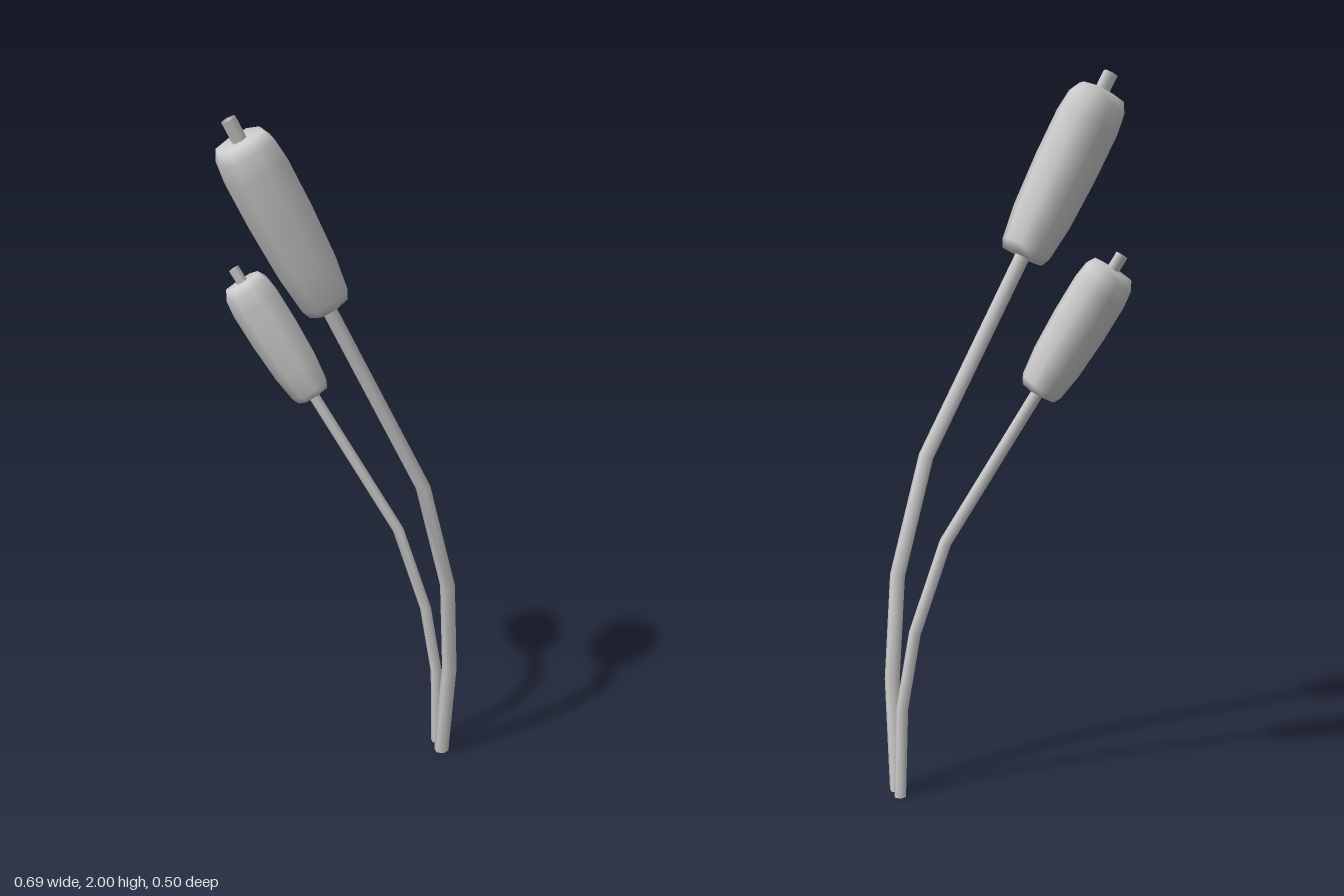
import * as THREE from 'three';

const material = new THREE.MeshStandardMaterial({ color: 0xcccccc });

// Smooth closed loft: rings of { center, axis, radius }; flat < 1 pulls in every second side
function loft(rings, sides, flat = 1, phase = 0) {
  const positions = [], index = [];
  for (const { center, axis, radius } of rings) {
    const u = new THREE.Vector3(1, 0, 0).addScaledVector(axis, -axis.x).normalize();
    const v = new THREE.Vector3().crossVectors(axis, u);
    for (let j = 0; j < sides; j++) {
      const a = phase + (j / sides) * Math.PI * 2;
      const r = radius * (j % 2 ? flat : 1);
      positions.push(...center.clone()
        .addScaledVector(u, Math.cos(a) * r)
        .addScaledVector(v, Math.sin(a) * r).toArray());
    }
  }
  const last = (rings.length - 1) * sides;
  const bottom = rings.length * sides, top = bottom + 1;
  positions.push(...rings[0].center.toArray(), ...rings[rings.length - 1].center.toArray());
  for (let j = 0; j < sides; j++) {
    const k = (j + 1) % sides;
    for (let i = 0; i < last; i += sides) {
      index.push(i + j, i + k, i + sides + j, i + k, i + sides + k, i + sides + j);
    }
    index.push(bottom, k, j, top, last + j, last + k);
  }
  const geometry = new THREE.BufferGeometry();
  geometry.setAttribute('position', new THREE.Float32BufferAttribute(positions, 3));
  geometry.setIndex(index);
  geometry.computeVertexNormals();
  return geometry;
}

// Seed head profile: [fraction along head, fraction of full radius]
const headProfile = [[0, 0.66], [0.05, 0.79], [0.25, 0.93], [0.55, 1], [0.82, 1], [0.94, 0.92], [1, 0.74]];

function createReed({ name, path, stemRadius, headStart, headEnd, headRadius, phase }) {
  const points = path.map((p) => new THREE.Vector3(...p));
  const directions = points.slice(1).map((p, i) => p.clone().sub(points[i]).normalize());
  const n = directions.length;

  // Kinked stem, running through the head to the tip; the base is cut level
  const stemRings = points.map((center, i) => {
    const axis = i === 0 ? new THREE.Vector3(0, 1, 0)
      : directions[i - 1].clone().add(directions[Math.min(i, n - 1)]).normalize();
    return { center, axis, radius: stemRadius };
  });
  const stem = new THREE.Mesh(loft(stemRings, 6), material);
  stem.name = 'stem';

  // Rounded square seed head around the last straight run of the stem
  const headRings = headProfile.map(([t, r]) => ({
    center: points[n - 1].clone().lerp(points[n], THREE.MathUtils.lerp(headStart, headEnd, t)),
    axis: directions[n - 1],
    radius: headRadius * r,
  }));
  const head = new THREE.Mesh(loft(headRings, 8, 0.92, phase), material);
  head.name = 'seedHead';

  const reed = new THREE.Group();
  reed.name = name;
  reed.add(stem, head);
  return reed;
}

export function createModel() {
  const model = new THREE.Group();
  model.name = 'reeds';
  model.add(
    createReed({
      name: 'tallReed',
      path: [[0.3, 0, -0.187], [0.322, 0.31, -0.155], [0.315, 0.6, -0.118],
        [0.247, 0.93, -0.057], [-0.225, 1.99, 0.187]],
      stemRadius: 0.022, headStart: 0.522, headEnd: 0.95, headRadius: 0.095, phase: 0,
    }),
    createReed({
      name: 'shortReed',
      path: [[0.277, 0, -0.236], [0.271, 0.25, -0.228], [0.235, 0.465, -0.22],
        [0.15, 0.72, -0.208], [-0.32, 1.5, -0.155]],
      stemRadius: 0.017, headStart: 0.532, headEnd: 0.952, headRadius: 0.08, phase: -0.15,
    }),
  );
  return model;
}
